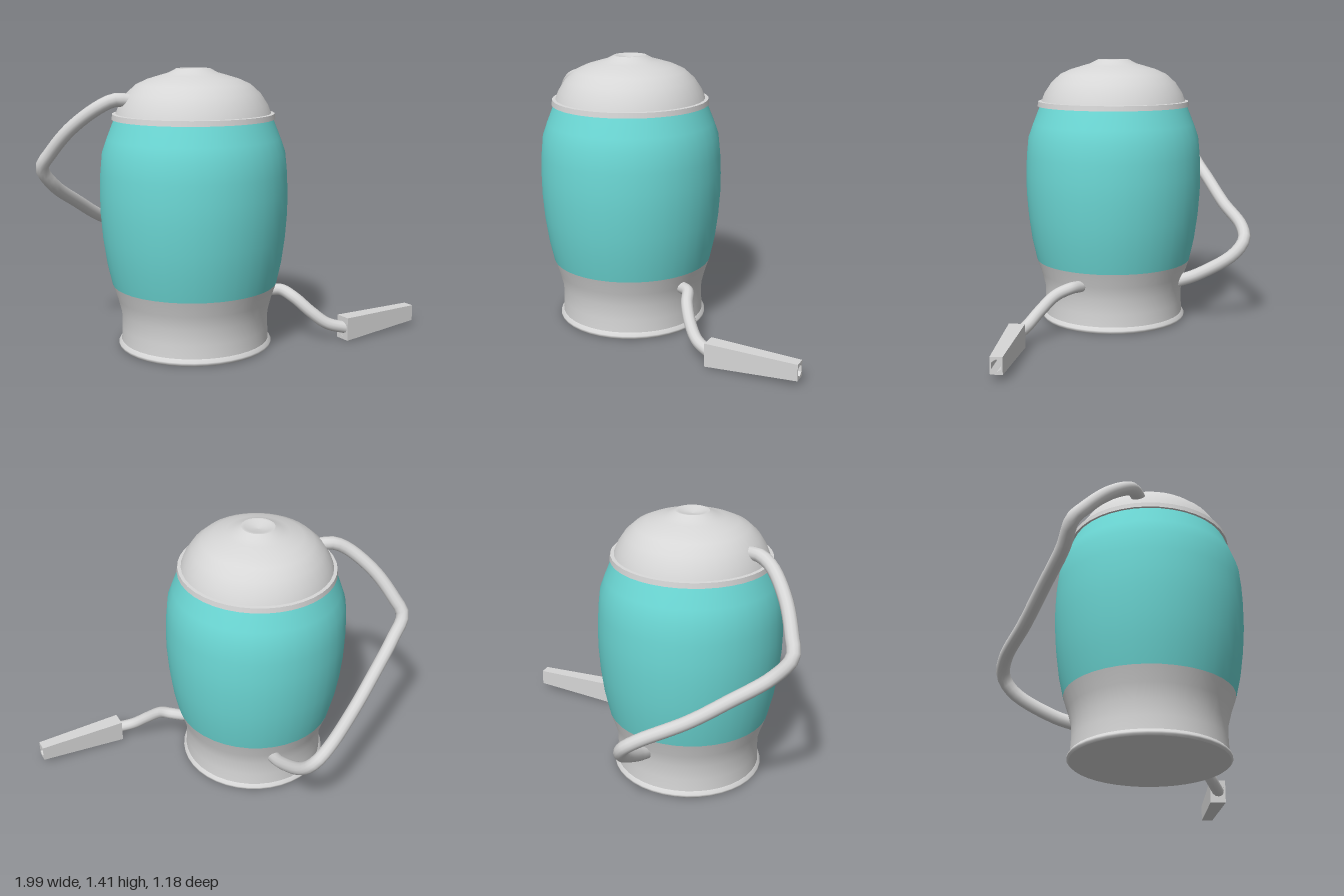
import * as THREE from 'three';

const grey = new THREE.MeshStandardMaterial({ color: 0xd6d6d6 });
grey.name = 'light grey';
const teal = new THREE.MeshStandardMaterial({ color: 0x6cd8d5 });
teal.name = 'teal';

const v2 = ([x, y]) => new THREE.Vector2(x, y);

function add(parent, name, geometry, material) {
  const mesh = new THREE.Mesh(geometry, material);
  mesh.name = name;
  parent.add(mesh);
  return mesh;
}

// profile points are [radius, height], from bottom to top
const lathe = (points) => new THREE.LatheGeometry(points.map(v2), 40);

function tube(points, radius) {
  const curve = new THREE.CatmullRomCurve3(points.map((p) => new THREE.Vector3(...p)), false, 'centripetal');
  return new THREE.TubeGeometry(curve, 56, radius, 12);
}

// block along +z, tapered towards the far end, with a hexagonal bore
function nozzleGeometry(length) {
  const shape = new THREE.Shape([[-1, -1], [1, -1], [1, 1], [-1, 1]].map(([x, y]) => new THREE.Vector2(x * 0.03, y * 0.042)));
  const hole = [];
  for (let i = 0; i < 6; i++) {
    const a = -i * Math.PI / 3 + Math.PI / 2;
    hole.push(new THREE.Vector2(Math.cos(a) * 0.027, Math.sin(a) * 0.031));
  }
  shape.holes.push(new THREE.Path(hole));
  const geometry = new THREE.ExtrudeGeometry(shape, { depth: length, bevelEnabled: false });
  const pos = geometry.attributes.position;
  for (let i = 0; i < pos.count; i++) {
    const t = 1 - pos.getZ(i) / length;
    pos.setX(i, pos.getX(i) * (1 + 0.37 * t));
    pos.setY(i, pos.getY(i) * (1 + 0.45 * t) + 0.072 - 0.008 * t);
  }
  geometry.computeVertexNormals();
  return geometry;
}

export function createModel() {
  const model = new THREE.Group();

  // Round body, stacked from the floor up
  const body = new THREE.Group();
  body.name = 'body';
  body.position.set(-0.21, 0, 0.116);
  model.add(body);
  add(body, 'bottomPlate', new THREE.CircleGeometry(0.385, 40).rotateX(Math.PI / 2), grey);
  add(body, 'footRing', lathe([[0.385, 0], [0.394, 0.008], [0.394, 0.018], [0.38, 0.034]]), grey);
  add(body, 'base', lathe([[0.38, 0.034], [0.376, 0.1], [0.377, 0.18], [0.395, 0.25], [0.421, 0.327]]), grey);
  add(body, 'tank', lathe([[0.421, 0.327], [0.446, 0.44], [0.464, 0.57], [0.474, 0.7], [0.475, 0.8],
    [0.471, 0.9], [0.461, 1.0], [0.436, 1.07], [0.398, 1.166]]), teal);
  add(body, 'rimUnderside', lathe([[0.385, 1.166], [0.41, 1.166]]), grey);
  add(body, 'rim', lathe([[0.41, 1.166], [0.406, 1.192]]), grey);
  add(body, 'rimTop', lathe([[0.406, 1.192], [0.385, 1.194]]), grey);
  add(body, 'lid', lathe([[0.39, 1.19], [0.372, 1.236], [0.335, 1.292], [0.285, 1.337], [0.23, 1.362],
    [0.16, 1.383], [0.125, 1.393], [0.085, 1.414]]), grey);
  add(body, 'lidDimple', lathe([[0.085, 1.414], [0.07, 1.414], [0.04, 1.403], [0, 1.398]]), grey);

  // Bent pipe from the lid around to the back of the base
  add(model, 'handle', tube([
    [-0.53, 1.262, 0.18], [-0.6, 1.268, 0.18], [-0.68, 1.235, 0.175], [-0.82, 1.125, 0.12],
    [-0.92, 1.0, 0.055], [-0.965, 0.92, 0.015], [-0.91, 0.82, -0.05], [-0.79, 0.705, -0.2],
    [-0.67, 0.6, -0.345], [-0.52, 0.505, -0.52], [-0.45, 0.445, -0.56], [-0.395, 0.37, -0.52],
    [-0.31, 0.255, -0.34], [-0.28, 0.22, -0.25],
  ], 0.034), grey);

  // Hose and its block-shaped nozzle
  add(model, 'hose', tube([
    [0.14, 0.25, 0.09], [0.19, 0.25, 0.095], [0.25, 0.252, 0.11], [0.31, 0.22, 0.165],
    [0.39, 0.15, 0.21], [0.47, 0.092, 0.232], [0.58, 0.062, 0.235],
  ], 0.031), grey);

  const nozzle = new THREE.Group();
  nozzle.name = 'nozzle';
  nozzle.position.set(0.553, 0, 0.236);
  nozzle.rotation.y = Math.atan2(0.434, -0.189);
  model.add(nozzle);
  add(nozzle, 'nozzleBlock', nozzleGeometry(0.473), grey);
  const back = add(nozzle, 'nozzleBack', new THREE.BoxGeometry(0.08, 0.12, 0.006), grey);
  back.position.set(0, 0.064, 0.004);

  return model;
}
